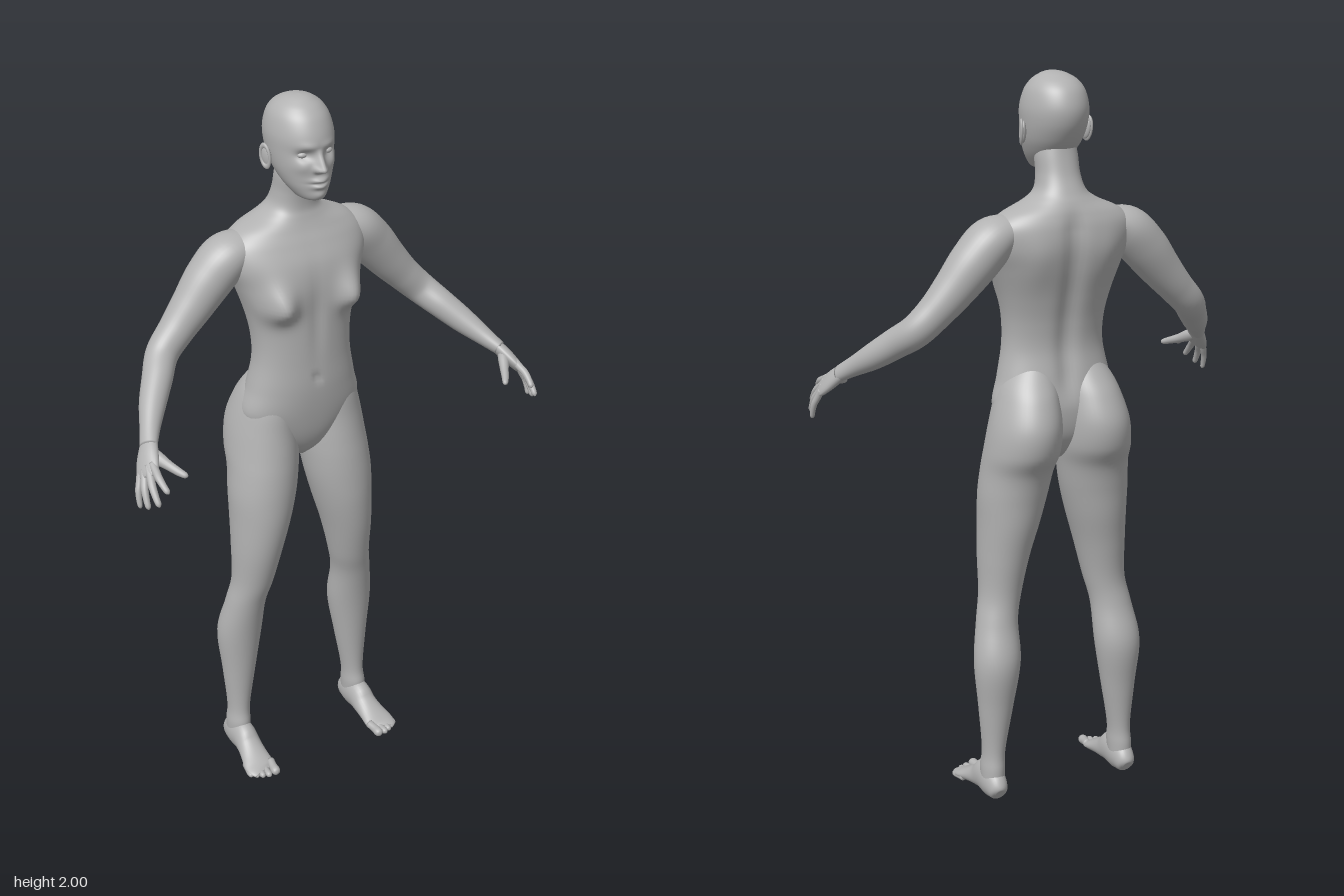
import * as THREE from 'three';

const skin = new THREE.MeshStandardMaterial({ color: 0xb2b2b2 });
skin.name = 'grey clay';

const bell = (d, s) => Math.exp(-(d * d) / (s * s));
const step = THREE.MathUtils.smoothstep;

// Catmull-Rom interpolation between rows of numbers
function smoothRows(rows, n) {
  const out = [];
  const at = (i) => rows[Math.min(Math.max(i, 0), rows.length - 1)];
  for (let i = 0; i < rows.length - 1; i++) {
    const [a, b, c, d] = [at(i - 1), at(i), at(i + 1), at(i + 2)];
    for (let k = 0; k < n; k++) {
      const t = k / n;
      out.push(b.map((p, j) => p + 0.5 * t * (c[j] - a[j]
        + t * (2 * a[j] - 5 * p + 4 * c[j] - d[j] + t * (3 * (p - c[j]) + d[j] - a[j])))));
    }
  }
  out.push(rows[rows.length - 1]);
  return out;
}

// Closed skin over rings of equal point count, capped at both ends
function skinRings(rings) {
  const n = rings[0].length, last = (rings.length - 1) * n;
  const pts = rings.flat(), index = [];
  for (let i = 0; i < rings.length - 1; i++) {
    for (let j = 0; j < n; j++) {
      const a = i * n + j, b = i * n + (j + 1) % n;
      index.push(a, b, a + n, b, b + n, a + n);
    }
  }
  const middle = (ring) => ring.reduce((s, p) => s.add(p), new THREE.Vector3()).divideScalar(n);
  const c0 = pts.push(middle(rings[0])) - 1;
  const c1 = pts.push(middle(rings[rings.length - 1])) - 1;
  for (let j = 0; j < n; j++) {
    const k = (j + 1) % n;
    index.push(c0, k, j, c1, last + j, last + k);
  }
  const g = new THREE.BufferGeometry().setFromPoints(pts);
  g.setIndex(index);
  g.computeVertexNormals();
  return g;
}

const around = (n, f) => Array.from({ length: n }, (_, j) => f(j / n * Math.PI * 2));
const round = (v, e) => Math.sign(v) * Math.abs(v) ** e;

// Upright form; rows are [y, centre x, half width, front z, back z]
function upright(rows, { n = 48, spans = 6, e = 1, sculpt } = {}) {
  return skinRings(smoothRows(rows, spans).map(([y, x, w, f, b]) => around(n, (a) => {
    const p = new THREE.Vector3(x + w * round(Math.sin(a), e), y,
      (f + b) / 2 + (f - b) / 2 * round(Math.cos(a), e));
    if (sculpt) p.z += sculpt(p.x, y, Math.cos(a));
    return p;
  })));
}

// Limb along a path; rows are [x, y, z, side radius, up radius]
function limb(rows, up, { n = 24, spans = 5 } = {}) {
  const path = smoothRows(rows, spans);
  const points = path.map((r) => new THREE.Vector3(r[0], r[1], r[2]));
  return skinRings(path.map((r, i) => {
    const t = points[Math.min(i + 1, points.length - 1)].clone()
      .sub(points[Math.max(i - 1, 0)]).normalize();
    const v = up.clone().addScaledVector(t, -up.dot(t)).normalize();
    const u = v.clone().cross(t);
    return around(n, (a) => points[i].clone()
      .addScaledVector(u, r[3] * Math.cos(a)).addScaledVector(v, r[4] * Math.sin(a)));
  }));
}

function mirrored(geo) {
  const g = geo.clone().scale(-1, 1, 1), ix = g.index.array;
  for (let i = 0; i < ix.length; i += 3) [ix[i], ix[i + 1]] = [ix[i + 1], ix[i]];
  return g;
}

// Breasts, spine groove, shoulder blades, breastbone and navel
function sculptTorso(x, y, facing) {
  const ax = Math.abs(x);
  if (facing > 0) {
    const w = Math.min(1, facing * 3);
    const dy = y - 1.455;
    return w * (0.046 * bell(ax - 0.108, 0.042) * bell(dy, dy > 0 ? 0.062 : 0.038)
      - 0.006 * bell(x, 0.02) * bell(y - 1.42, 0.12)
      - 0.008 * bell(x, 0.009) * bell(y - 1.235, 0.012));
  }
  const w = Math.min(1, -facing * 3);
  return w * (0.014 * bell(x, 0.028) * step(y, 1.12, 1.22) * (1 - step(y, 1.6, 1.68))
    - 0.008 * bell(ax - 0.1, 0.045) * bell(y - 1.53, 0.07));
}

// Nose, eye sockets, brow, cheeks, lips and chin
function sculptFace(x, y, facing) {
  if (facing < 0) return 0;
  const ax = Math.abs(x), w = Math.min(1, facing * 2);
  const ramp = THREE.MathUtils.clamp((1.884 - y) / 0.048, 0, 1);
  const drop = step(y, 1.818, 1.833);
  return w * (0.029 * ramp * drop * bell(x, 0.007 + 0.006 * ramp)
    + 0.008 * ramp * drop * bell(ax - 0.013, 0.006) * bell(y - 1.831, 0.009)
    - 0.014 * bell(ax - 0.035, 0.019) * bell(y - 1.868, 0.013)
    + 0.004 * bell(ax - 0.03, 0.025) * bell(y - 1.892, 0.01)
    + 0.005 * bell(ax - 0.047, 0.018) * bell(y - 1.838, 0.016)
    + 0.011 * bell(x, 0.022) * bell(y - 1.802, 0.007)
    + 0.010 * bell(x, 0.02) * bell(y - 1.786, 0.007)
    - 0.004 * bell(x, 0.024) * bell(y - 1.794, 0.003)
    + 0.004 * bell(x, 0.018) * bell(y - 1.762, 0.01));
}

export function createModel() {
  const body = new THREE.Group();
  body.name = 'human figure';
  const add = (name, geo) => {
    const m = new THREE.Mesh(geo, skin);
    m.name = name;
    body.add(m);
  };
  const pair = (name, geo) => {
    add('left ' + name, geo);
    add('right ' + name, mirrored(geo));
  };

  // Torso and neck
  add('torso', upright([
    [0.965, 0, 0.015, -0.06, -0.1], [1.0, 0, 0.06, -0.025, -0.14], [1.05, 0, 0.125, -0.002, -0.17],
    [1.12, 0, 0.175, 0.012, -0.18], [1.2, 0, 0.158, 0.02, -0.172], [1.28, 0, 0.142, 0.02, -0.16],
    [1.35, 0, 0.142, 0.02, -0.166], [1.42, 0, 0.155, 0.02, -0.182], [1.5, 0, 0.18, 0.02, -0.204],
    [1.56, 0, 0.202, 0.01, -0.215], [1.61, 0, 0.2, -0.012, -0.214], [1.645, 0, 0.165, -0.03, -0.205],
    [1.675, 0, 0.1, -0.042, -0.191], [1.7, 0, 0.068, -0.048, -0.178], [1.74, 0, 0.057, -0.045, -0.16],
    [1.79, 0, 0.055, -0.035, -0.147], [1.83, 0, 0.045, -0.04, -0.14],
  ], { n: 96, spans: 7, e: 0.9, sculpt: sculptTorso }));

  // Head
  add('head', upright([
    [1.742, 0, 0.02, 0.008, -0.06], [1.75, 0, 0.036, 0.028, -0.08], [1.775, 0, 0.055, 0.032, -0.11],
    [1.8, 0, 0.068, 0.032, -0.138], [1.83, 0, 0.078, 0.032, -0.163], [1.87, 0, 0.084, 0.031, -0.184],
    [1.91, 0, 0.085, 0.029, -0.19], [1.95, 0, 0.076, 0.012, -0.178], [1.975, 0, 0.06, -0.01, -0.156],
    [1.99, 0, 0.039, -0.033, -0.126], [1.997, 0, 0.021, -0.05, -0.1], [2.0, 0, 0.002, -0.07, -0.074],
  ], { n: 128, spans: 9, sculpt: sculptFace }));
  pair('eye', new THREE.SphereGeometry(0.0125, 20, 14).scale(1.15, 0.7, 1).translate(0.036, 1.868, 0.002));

  // Ears: a flat shell with a raised rim
  const placeEar = (g) => g.rotateX(-0.15).rotateY(-0.35).translate(0.09, 1.848, -0.085);
  pair('ear', placeEar(new THREE.SphereGeometry(1, 20, 14).scale(0.008, 0.029, 0.016)));
  pair('ear rim', placeEar(new THREE.TorusGeometry(0.015, 0.004, 8, 28).rotateY(Math.PI / 2)
    .scale(1, 1.85, 1).translate(0.005, 0, 0)));

  // Legs, from hip and buttock down to ankle
  pair('leg', upright([
    [0.03, 0.2, 0.03, -0.075, -0.148], [0.09, 0.199, 0.033, -0.06, -0.149],
    [0.15, 0.196, 0.032, -0.068, -0.145], [0.28, 0.19, 0.049, -0.062, -0.158],
    [0.41, 0.185, 0.065, -0.05, -0.173], [0.52, 0.175, 0.058, -0.031, -0.146],
    [0.6, 0.159, 0.059, -0.01, -0.137], [0.705, 0.146, 0.071, 0.012, -0.15],
    [0.8, 0.132, 0.084, 0.023, -0.168], [0.88, 0.122, 0.094, 0.024, -0.18],
    [0.95, 0.113, 0.097, 0.02, -0.196], [1.01, 0.106, 0.099, 0.013, -0.228],
    [1.08, 0.1, 0.094, 0.004, -0.235], [1.15, 0.091, 0.083, -0.002, -0.21],
    [1.2, 0.082, 0.07, -0.015, -0.178], [1.25, 0.07, 0.045, -0.035, -0.14],
  ]));

  // Feet: rows run from heel to ball
  const ground = new THREE.Vector3(0, 1, 0);
  pair('foot', limb([
    [-0.157, 0.2, 0.012, 0.045, 0.015], [-0.148, 0.2, 0.026, 0.066, 0.004], [-0.115, 0.2, 0.034, 0.095, 0],
    [-0.07, 0.2, 0.035, 0.1, 0.002], [-0.035, 0.201, 0.036, 0.073, 0.003], [0, 0.204, 0.04, 0.051, 0.002],
    [0.03, 0.207, 0.045, 0.035, 0], [0.05, 0.208, 0.043, 0.026, 0], [0.064, 0.205, 0.034, 0.018, 0.003],
  ].map(([z, x, w, top, low]) => [x, (top + low) / 2, z, w, (top - low) / 2]), ground, { n: 32 }));
  [[0.178, 0.093, 0.0135], [0.2, 0.09, 0.0098], [0.217, 0.083, 0.0094], [0.232, 0.074, 0.009], [0.246, 0.063, 0.0086]]
    .forEach(([x, tip, r], i) => {
      const toe = [[-0.055, 0.9], [-0.03, 0.9], [-0.014, 1], [-0.004, 0.75], [0, 0.15]]
        .map(([dz, k]) => [x - dz * dz * 2, r * (1 + 15 * -dz * 0.6), tip + dz, r * k, r * k]);
      pair('toe ' + (i + 1), limb(toe, ground, { n: 14, spans: 4 }));
    });

  // Arms, from shoulder to wrist
  pair('arm', limb([
    [0.12, 1.615, -0.115, 0.05, 0.03], [0.19, 1.585, -0.118, 0.07, 0.06], [0.245, 1.53, -0.12, 0.066, 0.064],
    [0.3, 1.465, -0.117, 0.056, 0.056], [0.35, 1.41, -0.112, 0.048, 0.048], [0.4, 1.36, -0.098, 0.043, 0.044],
    [0.44, 1.32, -0.05, 0.041, 0.04], [0.48, 1.28, 0, 0.036, 0.035], [0.515, 1.245, 0.052, 0.028, 0.026],
    [0.542, 1.218, 0.095, 0.026, 0.019],
  ], new THREE.Vector3(0.7, 0.7, 0), { n: 36, spans: 7 }));

  // Hands
  const back = new THREE.Vector3(0.78, 0.62, 0.1).normalize();
  pair('palm', limb([
    [0.53, 1.232, 0.075, 0.022, 0.016], [0.548, 1.208, 0.105, 0.031, 0.018], [0.562, 1.188, 0.128, 0.036, 0.016],
    [0.572, 1.173, 0.146, 0.035, 0.0125], [0.577, 1.166, 0.154, 0.027, 0.008],
  ], back));
  const fingers = {
    'index finger': [[0.557, 1.191, 0.156], [0.556, 1.152, 0.232], 0.0105],
    'middle finger': [[0.567, 1.18, 0.149], [0.578, 1.115, 0.222], 0.0108],
    'ring finger': [[0.577, 1.168, 0.14], [0.593, 1.096, 0.19], 0.0102],
    'little finger': [[0.586, 1.157, 0.131], [0.601, 1.086, 0.158], 0.009],
  };
  for (const [name, [base, tip, r]] of Object.entries(fingers)) {
    const rows = [[-0.15, 1], [0.15, 1], [0.45, 0.95], [0.75, 0.82], [0.93, 0.68], [1, 0.15]].map(([t, k]) => {
      const p = new THREE.Vector3(...base).lerp(new THREE.Vector3(...tip), t)
        .addScaledVector(back, 0.007 * Math.sin(Math.PI * Math.max(t, 0)));
      return [...p.toArray(), r * k, r * k];
    });
    pair(name, limb(rows, back, { n: 14, spans: 4 }));
  }
  pair('thumb', limb([
    [0.549, 1.213, 0.096, 0.013, 0.012], [0.536, 1.2, 0.124, 0.018, 0.015], [0.518, 1.186, 0.154, 0.013, 0.012],
    [0.502, 1.175, 0.182, 0.0105, 0.0095], [0.491, 1.169, 0.198, 0.0075, 0.007], [0.488, 1.167, 0.203, 0.002, 0.002],
  ], back, { n: 16, spans: 4 }));

  return body;
}
